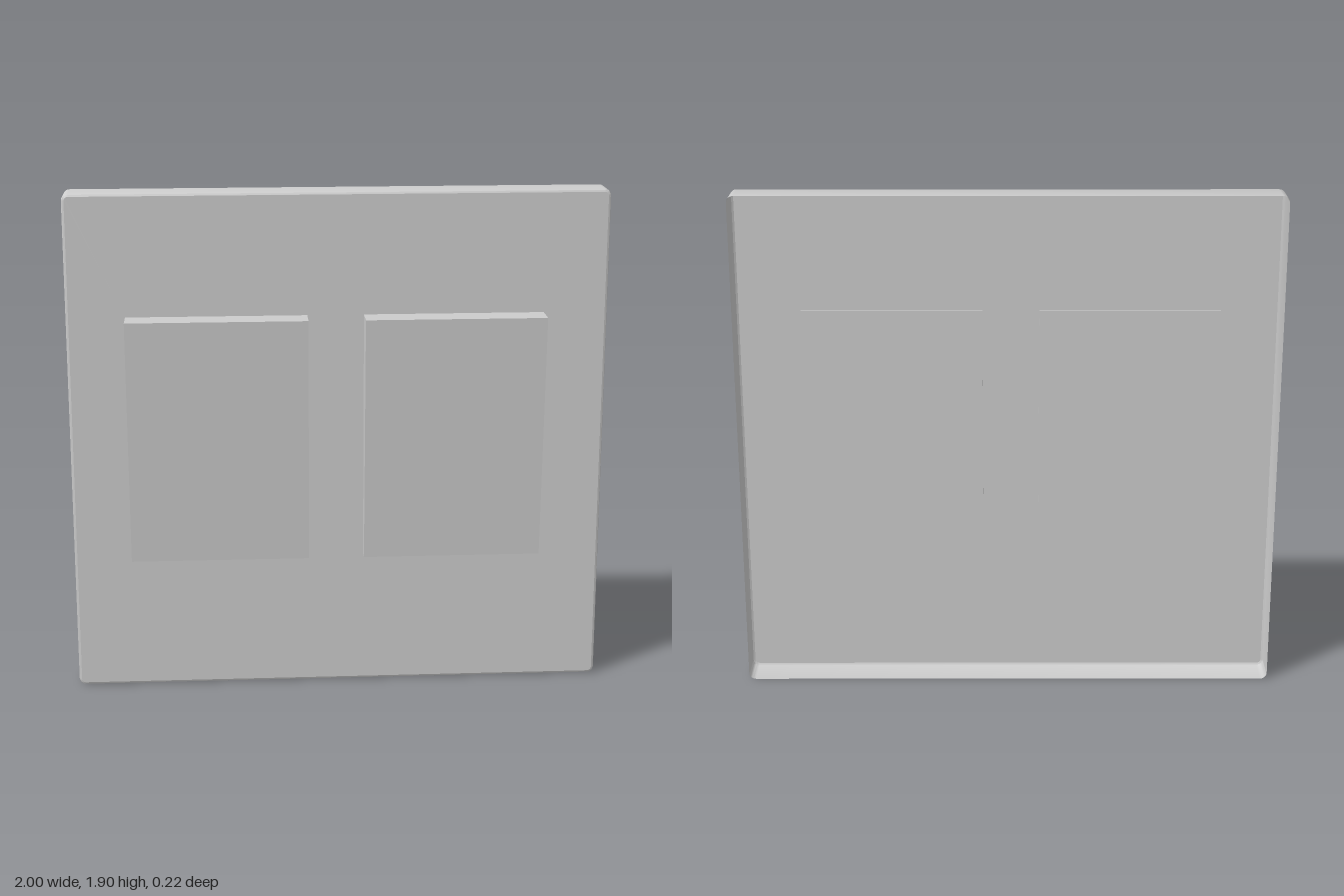
import * as THREE from 'three';
import { toCreasedNormals } from 'three/addons/utils/BufferGeometryUtils.js';

const WIDTH = 2, HEIGHT = 1.9;
const BACK = -0.11, FACE = 0.008;
const ROCKER = { w: 0.668, bottom: 0.515, top: 1.445 };
const ROCKER_X = [-0.449, 0.428];

// Rounded rectangle standing on the plate's outline, pulled in by inset
function plateOutline(inset, radius) {
  const x = WIDTH / 2 - inset, b = inset, t = HEIGHT - inset;
  const s = new THREE.Shape();
  s.absarc(x - radius, b + radius, radius, -Math.PI / 2, 0);
  s.absarc(x - radius, t - radius, radius, 0, Math.PI / 2);
  s.absarc(-x + radius, t - radius, radius, Math.PI / 2, Math.PI);
  s.absarc(-x + radius, b + radius, radius, Math.PI, Math.PI * 1.5);
  s.closePath();
  return s;
}

// Evenly matched points of the four rounded corners
function ring(inset, radius, z, steps = 5) {
  const points = [];
  for (let c = 0; c < 4; c++) {
    const cx = (c === 0 || c === 3 ? 1 : -1) * (WIDTH / 2 - inset - radius);
    const cy = c < 2 ? HEIGHT - inset - radius : inset + radius;
    for (let i = 0; i <= steps; i++) {
      const a = (c + i / steps) * Math.PI / 2;
      points.push([cx + radius * Math.cos(a), cy + radius * Math.sin(a), z]);
    }
  }
  return points;
}

// Skin a list of closed rings, running from back to front
function loft(rings) {
  const n = rings[0].length, index = [];
  for (let r = 0; r < rings.length - 1; r++) {
    for (let i = 0; i < n; i++) {
      const j = (i + 1) % n, a = r * n, b = a + n;
      index.push(a + i, a + j, b + j, a + i, b + j, b + i);
    }
  }
  const g = new THREE.BufferGeometry();
  g.setAttribute('position', new THREE.Float32BufferAttribute(rings.flat(2), 3));
  g.setIndex(index);
  return toCreasedNormals(g, 0.6);
}

// Box whose front leans forward towards the top
function wedge() {
  const h = ROCKER.top - ROCKER.bottom;
  const g = new THREE.BoxGeometry(ROCKER.w, h, 1);
  const p = g.attributes.position;
  for (let i = 0; i < p.count; i++) {
    const front = p.getY(i) > 0 ? 0.11 : 0.055;
    p.setZ(i, p.getZ(i) > 0 ? front : 0);
  }
  g.translate(0, (ROCKER.top + ROCKER.bottom) / 2, 0);
  return toCreasedNormals(g, 0.3);
}

export function createModel() {
  const group = new THREE.Group();
  group.name = 'doubleSwitch';
  const grey = new THREE.MeshStandardMaterial({ color: 0xcccccc, side: THREE.DoubleSide });
  grey.name = 'light grey';

  const add = (name, geometry) => {
    const mesh = new THREE.Mesh(geometry, grey);
    mesh.name = name;
    group.add(mesh);
    return mesh;
  };

  // Open-backed rim with a small rounded front edge
  add('plateRim', loft([
    ring(0, 0.025, BACK),
    ring(0, 0.025, FACE - 0.01),
    ring(0.003, 0.022, FACE - 0.003),
    ring(0.01, 0.015, FACE),
  ]));

  // Thin front panel with an opening for each rocker
  const panel = plateOutline(0.01, 0.015);
  for (const x of ROCKER_X) {
    const l = x - ROCKER.w / 2, r = x + ROCKER.w / 2;
    panel.holes.push(new THREE.Path([
      new THREE.Vector2(l, ROCKER.bottom), new THREE.Vector2(l, ROCKER.top),
      new THREE.Vector2(r, ROCKER.top), new THREE.Vector2(r, ROCKER.bottom),
    ]));
  }
  add('platePanel', new THREE.ShapeGeometry(panel, 5).translate(0, 0, FACE));

  // Two tilted rockers
  ROCKER_X.forEach((x, i) => {
    add(i === 0 ? 'rightRocker' : 'leftRocker', wedge()).position.x = x;
  });

  return group;
}
